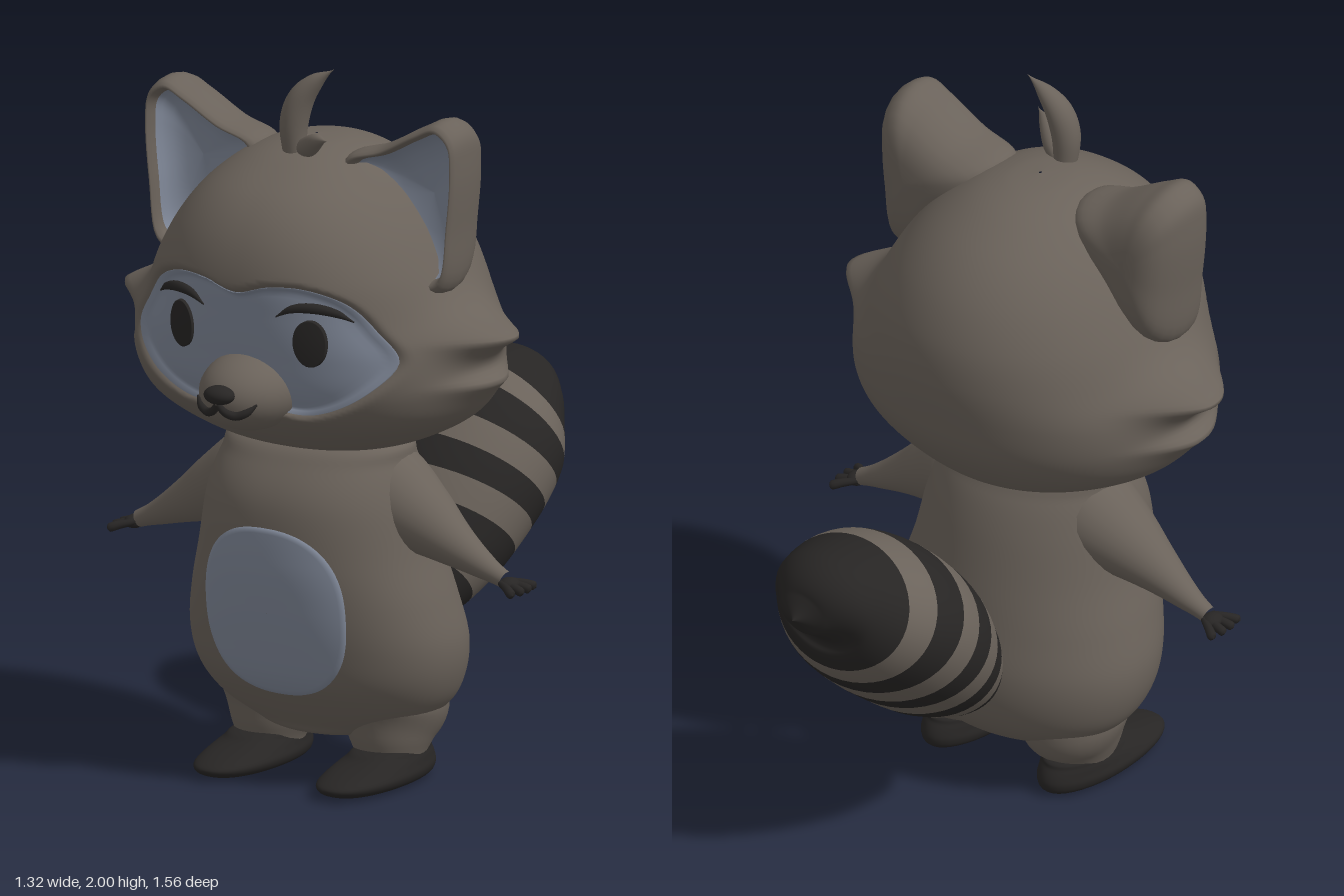
import * as THREE from 'three';

const mat = (color) => new THREE.MeshStandardMaterial({ color });
const V = (x, y, z) => new THREE.Vector3(x, y, z);
const TAU = Math.PI * 2;

// Catmull-Rom through the columns of a small table, t in 0..1
function sample(rows, t) {
  const n = rows.length - 1, f = Math.min(t * n, n - 1e-6), i = Math.floor(f), u = f - i;
  const [a, b, c, d] = [-1, 0, 1, 2].map((k) => rows[Math.max(0, Math.min(n, i + k))]);
  return b.map((_, k) => b[k] + 0.5 * u * (c[k] - a[k]
    + u * (2 * a[k] - 5 * b[k] + 4 * c[k] - d[k] + u * (3 * (b[k] - c[k]) + d[k] - a[k]))));
}

// Skin over closed rings of points (counter-clockwise seen from the last ring)
function skin(rings, flip = false) {
  const n = rings[0].length, index = [];
  for (let i = 0; i < rings.length - 1; i++) for (let j = 0; j < n; j++) {
    const a = i * n + j, b = i * n + (j + 1) % n, c = a + n, d = b + n;
    index.push(...(flip ? [a, c, b, b, c, d] : [a, b, c, b, d, c]));
  }
  const g = new THREE.BufferGeometry().setFromPoints(rings.flat());
  g.setIndex(index);
  g.computeVertexNormals();
  return g;
}
const steps = (n, fn) => Array.from({ length: n }, (_, i) => fn(i));

// Tapered tube with an elliptical section; wide stretches it along ref
function taper(points, radii, ref, wide = 1, segs = 32, sides = 24) {
  const curve = new THREE.CatmullRomCurve3(points.map((p) => V(...p)));
  const rows = radii.map((r) => [r]);
  return skin(steps(segs + 1, (i) => {
    const t = i / segs, c = curve.getPoint(t), T = curve.getTangent(t);
    const v = T.clone().cross(ref).normalize(), u = v.clone().cross(T);
    const r = Math.max(0.0005, sample(rows, t)[0]);
    return steps(sides, (j) => c.clone()
      .addScaledVector(u, r * wide * Math.cos(j / sides * TAU))
      .addScaledVector(v, r * Math.sin(j / sides * TAU)));
  }));
}

// Upright body from rows of [y, half width, front z, back z]
const POW = 2.25;
function loft(rows, segs, sides, shape = (p) => p, cx = 0) {
  return skin(steps(segs + 1, (i) => {
    const [y, w, zf, zb] = sample(rows, i / segs), zc = (zf + zb) / 2;
    return steps(sides, (j) => {
      const a = j / sides * TAU, c = Math.cos(a), s = -Math.sin(a), e = 2 / (s > 0 ? POW : 2);
      const x = w * Math.sign(c) * Math.abs(c) ** e;
      const z = zc + (zf - zc) * Math.sign(s) * Math.abs(s) ** e;
      return shape(V(cx + x, y, z), c, s);
    });
  }));
}
// Front z of such a body at x, y
function frontZ(rows, x, y) {
  let lo = 0, hi = 1;
  for (let k = 0; k < 24; k++) {
    const m = (lo + hi) / 2;
    if (sample(rows, m)[0] < y) lo = m; else hi = m;
  }
  const [, w, zf, zb] = sample(rows, lo), zc = (zf + zb) / 2;
  return zc + (zf - zc) * Math.max(0, 1 - Math.abs(x / w) ** POW) ** (1 / POW);
}
// Patch lying on a front surface, inside a polar outline, facing +z
function patch(surf, cx, cy, outline, lift, sides = 96) {
  const levels = [...steps(20, (i) => 0.001 + 0.994 * i / 19), 1];
  return skin(levels.map((k, i) => steps(sides, (j) => {
    const a = j / sides * TAU, r = outline(a) * k;
    const x = cx + r * Math.cos(a), y = cy + r * Math.sin(a);
    return V(x, y, surf(x, y) + (i < 20 ? lift : -0.004));
  })), true);
}
const oval = (rx, ry, n = 2) => (a) =>
  (Math.abs(Math.cos(a) / rx) ** n + Math.abs(Math.sin(a) / ry) ** n) ** (-1 / n);

const HEAD = [[0.92, 0.005, 0.21, 0.2], [0.932, 0.16, 0.35, 0.05], [0.97, 0.31, 0.47, -0.04],
  [1.05, 0.455, 0.58, -0.12], [1.14, 0.51, 0.64, -0.175], [1.25, 0.51, 0.665, -0.2],
  [1.36, 0.46, 0.68, -0.21], [1.47, 0.41, 0.685, -0.195], [1.58, 0.345, 0.65, -0.145],
  [1.67, 0.27, 0.58, -0.065], [1.74, 0.18, 0.47, 0.045], [1.775, 0.09, 0.37, 0.15], [1.785, 0.003, 0.27, 0.26]];
const BODY = [[0.12, 0.005, 0.2, 0.19], [0.128, 0.14, 0.31, 0.07], [0.16, 0.25, 0.345, 0.0],
  [0.22, 0.34, 0.4, -0.06], [0.3, 0.385, 0.455, -0.093], [0.4, 0.398, 0.485, -0.1],
  [0.52, 0.373, 0.51, -0.08], [0.65, 0.335, 0.525, -0.055], [0.8, 0.305, 0.515, -0.02],
  [0.9, 0.275, 0.465, 0.02], [0.96, 0.24, 0.4, 0.07], [0.98, 0.005, 0.24, 0.23]];

// Eye mask outline as radius by angle round (0, MY)
const MY = 1.27;
const half = [[0.1, 1.46], [0.2, 1.46], [0.3, 1.42], [0.37, 1.34], [0.42, 1.255], [0.34, 1.16], [0.2, 1.095], [0.1, 1.1]];
const maskPolar = new THREE.CatmullRomCurve3([[0, 1.435], ...half, [0, 1.14],
  ...half.map(([x, y]) => [-x, y]).reverse()].map(([x, y]) => V(x, y - MY, 0)), true)
  .getPoints(240).slice(0, 240)
  .map((p) => [(Math.atan2(p.y, p.x) + TAU) % TAU, Math.hypot(p.x, p.y)]).sort((p, q) => p[0] - q[0]);
function maskR(angle) {
  const a = (angle + TAU) % TAU;
  const k = maskPolar.findIndex((p) => p[0] > a), n = maskPolar.length;
  const q = maskPolar[k < 0 ? 0 : k], p = maskPolar[k < 0 ? n - 1 : (k + n - 1) % n];
  const span = (q[0] - p[0] + TAU) % TAU || 1;
  return p[1] + (q[1] - p[1]) * ((a - p[0] + TAU) % TAU) / span;
}
const recess = (x, y) => 0.042 * (1 - THREE.MathUtils.smoothstep(
  Math.hypot(x, y - MY) / maskR(Math.atan2(y - MY, x)), 0.9, 1.06));
const faceZ = (x, y) => frontZ(HEAD, x, y) - recess(x, y);

// Cheek tufts: two pointed ridges on each side of the head
const ridge = (y, top, above, below) => Math.exp(-(Math.abs((y - top) / (y > top ? above : below)) ** 1.4));
function headShape(p, c, s) {
  if (s > 0) p.z -= recess(p.x, p.y);
  const tuft = 0.125 * ridge(p.y, 1.295, 0.06, 0.045) + 0.055 * ridge(p.y, 1.17, 0.02, 0.05);
  p.x += Math.sign(c) * tuft * Math.abs(c) ** 22;
  return p;
}

export function createModel() {
  const root = new THREE.Group();
  const fur = mat(0x6a625a), pale = mat(0x7f8797), dark = mat(0x272524);
  const add = (name, geo, m) => {
    const mesh = new THREE.Mesh(geo, m);
    mesh.name = name;
    root.add(mesh);
    return mesh;
  };
  const ball = (name, m, p, r) => {
    const b = add(name, new THREE.SphereGeometry(1, 32, 20), m);
    b.position.set(...p);
    b.scale.set(...r);
  };
  const X = V(1, 0, 0), Z = V(0, 0, 1);

  // Head, mask and muzzle
  add('head', loft(HEAD, 130, 180, headShape), fur);
  add('eyeMask', patch(faceZ, 0, MY, (a) => maskR(a) * 0.985, 0.007, 160), pale);
  const M = { y: 1.145, z: 0.58, rx: 0.135, ry: 0.11, rz: 0.168 };
  ball('muzzle', fur, [0, M.y, M.z], [M.rx, M.ry, M.rz]);
  ball('nose', dark, [0, 1.163, 0.745], [0.045, 0.026, 0.036]);
  const muzzleZ = (x, y) => M.z + M.rz * Math.sqrt(Math.max(0, 1 - (x / M.rx) ** 2 - ((y - M.y) / M.ry) ** 2));

  // Body and belly
  add('body', loft(BODY, 80, 96), fur);
  add('bellyPatch', patch((x, y) => frontZ(BODY, x, y), 0, 0.503, oval(0.222, 0.24, 2.4), 0.007), pale);

  for (const s of [1, -1]) {
    const side = s > 0 ? 'left' : 'right';
    // Eyes, brows and mouth
    add(side + 'Eye', patch(faceZ, s * 0.205, 1.305, oval(0.044, 0.066), 0.018, 40), dark);
    const brow = [[0.115, 1.375], [0.16, 1.4], [0.215, 1.405], [0.27, 1.392], [0.31, 1.368]];
    add(side + 'Brow', taper(brow.map(([x, y]) => [s * x, y, faceZ(x, y) + 0.014]),
      [0.002, 0.011, 0.014, 0.011, 0.002], Z, 1, 24, 10), dark);
    const lip = [[0, 1.14], [0.018, 1.118], [0.045, 1.108], [0.072, 1.118], [0.095, 1.14]];
    add(side + 'Mouth', taper(lip.map(([x, y]) => [s * x, y, muzzleZ(x, y) + 0.006]),
      [0.009, 0.011, 0.012, 0.011, 0.003], Z, 1, 24, 10), dark);

    // Ear: rounded back, rolled rim and hollow inside
    const rim = new THREE.CatmullRomCurve3([[0.34, 1.43], [0.41, 1.405], [0.46, 1.43], [0.487, 1.6], [0.5, 1.77],
      [0.49, 1.855], [0.44, 1.893], [0.37, 1.865], [0.25, 1.8], [0.135, 1.755], [0.14, 1.68], [0.24, 1.55]]
      .map(([x, y]) => V(x, y, 0)), true).getPoints(72).slice(0, 72);
    const ear = (rows) => skin(rows.map(([k, z]) => rim.map((p) =>
      V(s * (0.37 + (p.x - 0.37) * k), 1.67 + (p.y - 1.67) * k, z))), s < 0);
    add(side + 'Ear', ear([[0.002, 0.14], [0.3, 0.142], [0.5, 0.149], [0.67, 0.163], [0.8, 0.184], [0.9, 0.212],
      [0.97, 0.247], [1, 0.285], [0.99, 0.32], [0.96, 0.345], [0.92, 0.358], [0.88, 0.358], [0.845, 0.34],
      [0.82, 0.305], [0.8, 0.28]]), fur);
    add(side + 'EarInside', ear([[0.835, 0.325], [0.79, 0.3], [0.65, 0.275], [0.4, 0.26], [0.002, 0.255]]), pale);

    // Arm, hand and fingers
    add(side + 'Arm', taper([[s * 0.1, 0.85, 0.23], [s * 0.2, 0.81, 0.23], [s * 0.31, 0.757, 0.235], [s * 0.42, 0.7, 0.24],
      [s * 0.52, 0.65, 0.24], [s * 0.585, 0.622, 0.24]], [0.12, 0.132, 0.102, 0.064, 0.036, 0.024], Z, 1.05), fur);
    ball(side + 'Hand', dark, [s * 0.6, 0.612, 0.24], [0.028, 0.018, 0.032]);
    for (const k of [-1.5, -0.5, 0.5, 1.5]) {
      const reach = 0.662 - Math.abs(k) * 0.008;
      add(side + 'Finger', taper([[s * 0.585, 0.616, 0.24 + k * 0.012], [s * 0.622, 0.608, 0.24 + k * 0.028],
        [s * (reach - 0.006), 0.6, 0.24 + k * 0.038], [s * reach, 0.598, 0.24 + k * 0.039]],
      [0.009, 0.012, 0.012, 0], Z, 1, 12, 10), dark);
    }

    // Leg and foot
    add(side + 'Leg', taper([[s * 0.17, 0.34, 0.18], [s * 0.185, 0.2, 0.175], [s * 0.19, 0.12, 0.19], [s * 0.192, 0.06, 0.195]],
      [0.16, 0.168, 0.128, 0.1], X, 0.87, 20, 32), fur);
    add(side + 'Foot', loft([[0.004, 0.003, 0.26, 0.25], [0.005, 0.06, 0.42, 0.08], [0.016, 0.095, 0.49, 0.04],
      [0.038, 0.107, 0.51, 0.03], [0.06, 0.1, 0.46, 0.035], [0.082, 0.09, 0.37, 0.05], [0.1, 0.075, 0.32, 0.07],
      [0.105, 0.003, 0.2, 0.19]], 35, 40, undefined, s * 0.196), dark);
  }

  // Hair curls on top
  add('hairCurl', taper([[0.005, 1.74, 0.38], [0.005, 1.84, 0.385], [0.025, 1.91, 0.38], [0.065, 1.96, 0.372], [0.12, 2.0, 0.365]],
    [0.03, 0.038, 0.036, 0.023, 0], Z, 1.1), fur);
  add('smallHairCurl', taper([[0.02, 1.765, 0.37], [0.06, 1.785, 0.4], [0.11, 1.815, 0.435], [0.165, 1.83, 0.47]],
    [0.02, 0.028, 0.02, 0], Z), fur);

  // Striped tail: one smooth skin shared by a light and a dark mesh
  const segs = 100, sides = 48;
  const tail = taper([[0, 0.38, -0.03], [0, 0.43, -0.14], [0, 0.54, -0.26], [0, 0.68, -0.39], [0.01, 0.805, -0.53],
    [0.03, 0.87, -0.66], [0.04, 0.865, -0.735], [0.04, 0.865, -0.78]],
  [0.05, 0.13, 0.185, 0.215, 0.205, 0.135, 0.06, 0], X, 1.32, segs, sides);
  const isDark = (t) => t > 0.625 || [0.12, 0.25, 0.375, 0.5].some((a) => t >= a && t < a + 0.062);
  const all = Array.from(tail.index.array);
  for (const [name, m, want] of [['tailFur', fur, false], ['tailStripes', dark, true]]) {
    const part = tail.clone();
    part.setIndex(all.filter((_, k) => isDark(Math.floor(k / (sides * 6)) / segs) === want));
    add(name, part, m);
  }
  return root;
}
